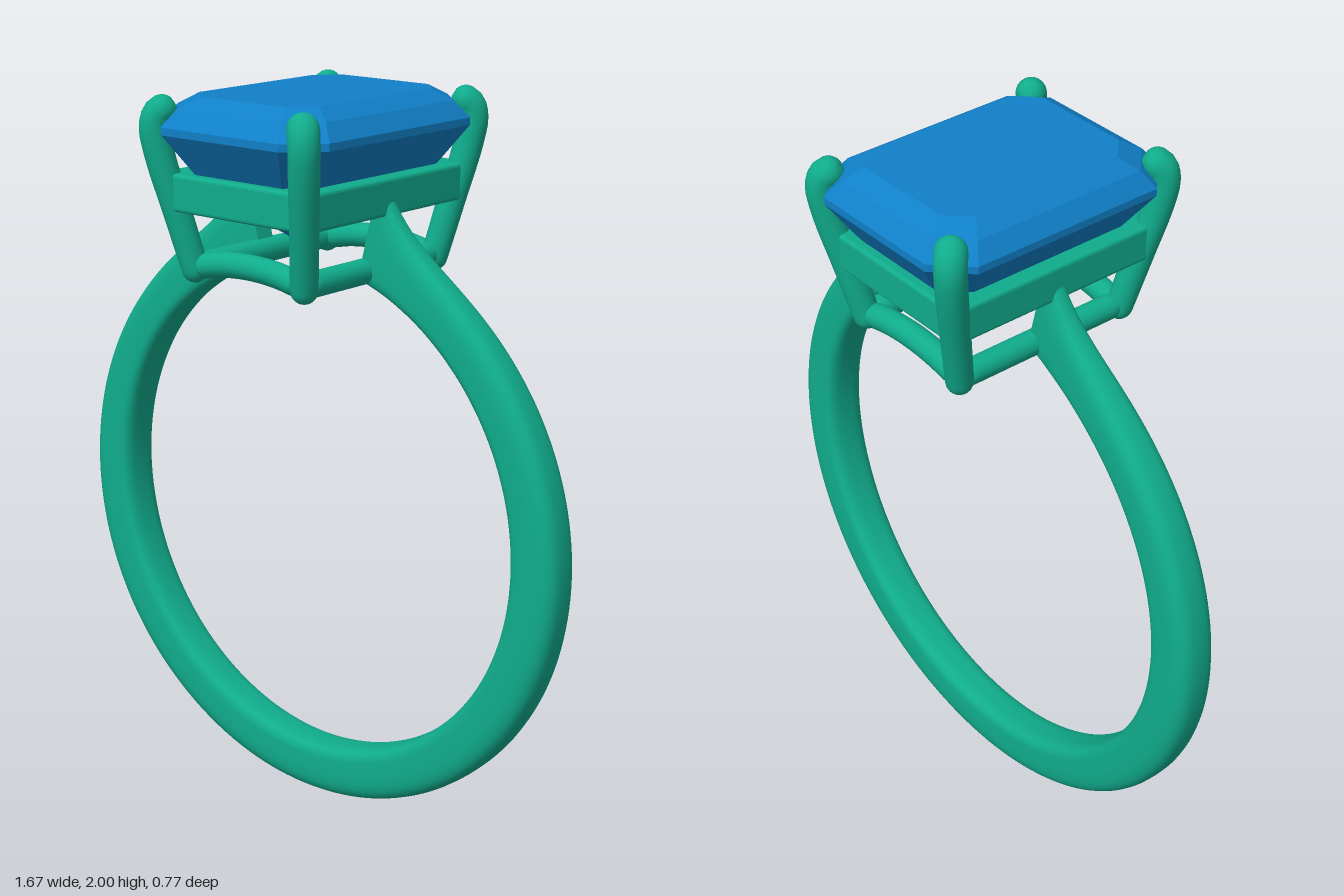
import * as THREE from 'three';

const metal = new THREE.MeshStandardMaterial({ color: 0x10ac8c });
const stone = new THREE.MeshStandardMaterial({ color: 0x1080c8, flatShading: true });
const V = (x, y, z) => new THREE.Vector3(x, y, z);
const CENTRE_Y = 0.843, INNER = 0.692;

// Skin a list of equal-length rings, each counterclockwise about the travel direction
function loft(rings) {
  const n = rings[0].length, pos = [], idx = [];
  rings.forEach(r => r.forEach(p => pos.push(p.x, p.y, p.z)));
  for (let i = 0; i < rings.length - 1; i++) {
    for (let j = 0; j < n; j++) {
      const k = (j + 1) % n;
      const a = i * n + j, b = i * n + k, c = b + n, d = a + n;
      idx.push(a, b, c, a, c, d);
    }
  }
  const g = new THREE.BufferGeometry();
  g.setAttribute('position', new THREE.Float32BufferAttribute(pos, 3));
  g.setIndex(idx);
  g.computeVertexNormals();
  return g;
}

// Round bar with hemispherical ends and a radius that changes along its path
function roundBar(points, r0, r1, segs = 40, sides = 20) {
  const curve = new THREE.CatmullRomCurve3(points);
  const len = curve.getLength(), f = curve.computeFrenetFrames(segs), rings = [];
  for (let i = 0; i <= segs; i++) {
    // denser sampling toward both ends
    const u = i / segs, t = 0.5 - 0.5 * Math.cos(Math.PI * u);
    const base = r0 + (r1 - r0) * t;
    const e = Math.min(1, Math.min(t, 1 - t) * len / base);
    const r = base * Math.sqrt(Math.max(0, 1 - (1 - e) ** 2));
    const p = curve.getPointAt(t), fi = Math.round(t * segs);
    rings.push(Array.from({ length: sides }, (_, j) => {
      const a = j / sides * Math.PI * 2;
      return p.clone().addScaledVector(f.normals[fi], Math.cos(a) * r)
        .addScaledVector(f.binormals[fi], Math.sin(a) * r);
    }));
  }
  return loft(rings);
}

// Corner-cut rectangle, counterclockwise seen from above
function octagon(hx, hz, c, y) {
  const a = hx - c, b = hz - c;
  return [[hx, b], [hx, -b], [a, -hz], [-a, -hz], [-hx, -b], [-hx, b], [-a, hz], [a, hz]]
    .map(([x, z]) => V(x, y, z));
}

// Band that flares and thins into two shoulders below the setting
function shankGeometry() {
  const N = 180, M = 32, start = 14, rings = [];
  const pw = (v, e) => Math.sign(v) * Math.abs(v) ** e;
  for (let i = 0; i <= N; i++) {
    const deg = start + (360 - 2 * start) * i / N, a = THREE.MathUtils.degToRad(deg);
    const d = Math.min(deg, 360 - deg);
    const outer = 0.825 + 0.018 * THREE.MathUtils.smoothstep(d, 40, 130)
      + 0.145 * Math.exp(-(d - start) / 7);
    const half = 0.065 - 0.035 * Math.exp(-(d - start) / 25)
      - 0.006 * THREE.MathUtils.smoothstep(d, 100, 180);
    const mid = (outer + INNER) / 2, depth = (outer - INNER) / 2;
    rings.push(Array.from({ length: M }, (_, j) => {
      const q = j / M * Math.PI * 2, c = Math.cos(q);
      // rounder outside, squarer inside
      const r = mid + depth * pw(c, c > 0 ? 0.75 : 0.4);
      return V(Math.sin(a) * r, CENTRE_Y + Math.cos(a) * r, half * pw(Math.sin(q), 0.65));
    }));
  }
  const cap = ring => {
    const m = ring.reduce((s, p) => s.add(p), V(0, 0, 0)).divideScalar(M);
    return ring.map(() => m.clone());
  };
  return loft([cap(rings[0]), rings[0], ...rings, rings[N], cap(rings[N])]);
}

// Flat rectangular collar under the stone
function galleryGeometry() {
  const outline = (hx, hz, c) => octagon(hx, hz, c, 0).map(p => new THREE.Vector2(p.x, -p.z));
  const shape = new THREE.Shape(outline(0.25, 0.325, 0.04));
  shape.holes.push(new THREE.Path(outline(0.195, 0.27, 0.03).reverse()));
  const g = new THREE.ExtrudeGeometry(shape, {
    depth: 0.08, bevelEnabled: true, bevelSize: 0.01, bevelThickness: 0.01, bevelSegments: 3
  });
  return g.rotateX(-Math.PI / 2).translate(0, 1.71, 0);
}

// Step-cut stone, keel at the bottom and table at the top
function gemGeometry() {
  const layers = [
    [0.003, 0.10, 0.001, 1.625],
    [0.11, 0.20, 0.035, 1.70],
    [0.215, 0.305, 0.065, 1.80],
    [0.29, 0.375, 0.09, 1.905],
    [0.29, 0.375, 0.09, 1.925],
    [0.255, 0.338, 0.08, 1.97],
    [0.207, 0.285, 0.06, 2.0]
  ].map(l => octagon(...l));
  const close = (hz, y) => octagon(0, hz, 0, y);
  return loft([close(0.10, 1.625), ...layers, close(0.2, 2.0)]);
}

export function createModel() {
  const model = new THREE.Group();
  const add = (name, geometry, material = metal) => {
    const mesh = new THREE.Mesh(geometry, material);
    mesh.name = name;
    model.add(mesh);
  };

  add('shank', shankGeometry());
  add('galleryRail', galleryGeometry());
  add('gemstone', gemGeometry(), stone);

  // Four claws leaning outward and hooking over the stone's corners
  for (const sx of [1, -1]) {
    for (const sz of [1, -1]) {
      const path = [[0.185, 1.505, 0.26], [0.222, 1.7, 0.302], [0.25, 1.85, 0.334],
        [0.257, 1.92, 0.342], [0.248, 1.955, 0.334], [0.215, 1.972, 0.303]]
        .map(([x, y, z]) => V(x * sx, y, z * sz));
      add('prong', roundBar(path, 0.036, 0.042));
    }
  }

  // Base frame: arched front and back bars, straight side bars
  for (const s of [1, -1]) {
    const arch = [-0.26, -0.13, 0, 0.13, 0.26].map(a =>
      V(Math.sin(a) * 0.727, CENTRE_Y + Math.cos(a) * 0.727, 0.262 * s));
    add('baseArch', roundBar(arch, 0.034, 0.034));
    add('baseSideBar', roundBar([V(0.188 * s, 1.548, -0.265), V(0.188 * s, 1.548, 0.265)], 0.034, 0.034));
  }
  return model;
}
